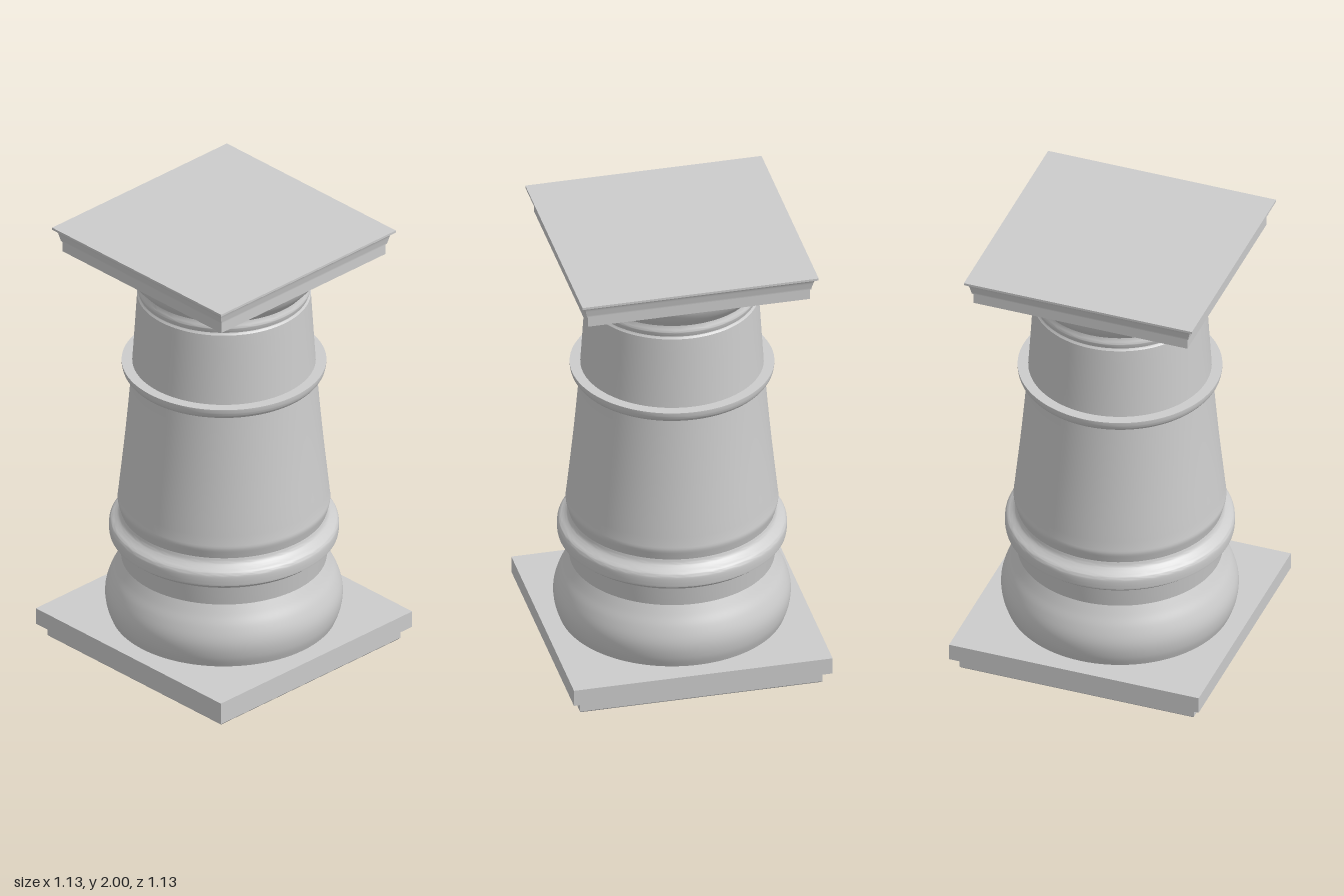
import * as THREE from 'three';
import { toCreasedNormals } from 'three/addons/utils/BufferGeometryUtils.js';

const material = new THREE.MeshStandardMaterial({ color: 0xcccccc });
const points = (pairs) => pairs.map(([r, y]) => new THREE.Vector2(r, y));
const curve = (pairs, n = 10) => new THREE.SplineCurve(points(pairs)).getPoints(n);

// Round moulding turned about the y axis, profile listed from bottom to top
function turned(name, profile) {
  const geometry = toCreasedNormals(new THREE.LatheGeometry(profile, 96), 0.5);
  const mesh = new THREE.Mesh(geometry, material);
  mesh.name = name;
  return mesh;
}

// Square moulding: the same idea with four sides; radii are half-widths
function squared(name, profile) {
  const corners = profile.map((p) => new THREE.Vector2(p.x * Math.SQRT2, p.y));
  const geometry = toCreasedNormals(new THREE.LatheGeometry(corners, 4, Math.PI / 4), 0.5);
  const mesh = new THREE.Mesh(geometry, material);
  mesh.name = name;
  return mesh;
}

export function createModel() {
  const pedestal = new THREE.Group();
  pedestal.name = 'pedestal';

  // Stepped square base
  pedestal.add(
    squared('footSlab', points([[0, 0], [0.525, 0], [0.53, 0.006], [0.53, 0.054], [0.525, 0.06], [0, 0.06]])),
    squared('plinth', points([[0, 0.06], [0.565, 0.06], [0.565, 0.135], [0, 0.135]])),
  );

  // Swelling foot and the neck above it
  pedestal.add(turned('baseBulge', [
    ...curve([[0.482, 0.135], [0.498, 0.18], [0.505, 0.23], [0.5, 0.275], [0.482, 0.325], [0.458, 0.37], [0.437, 0.412]], 28),
    ...points([[0.45, 0.505]]),
  ]));

  // Rounded lower ring with the cove that leads into the shaft
  pedestal.add(turned('lowerRing', [
    ...points([[0.44, 0.505]]),
    ...curve([[0.456, 0.505], [0.472, 0.518], [0.486, 0.53]], 6),
    ...curve([[0.488, 0.54], [0.488, 0.575], [0.48, 0.592], [0.463, 0.604], [0.446, 0.62], [0.439, 0.64]], 20),
  ]));

  // Tapered shaft
  pedestal.add(turned('shaft', [
    ...curve([[0.439, 0.64], [0.445, 0.662], [0.452, 0.69], [0.45, 0.71]], 8),
    ...curve([[0.446, 0.75], [0.418, 1.02], [0.392, 1.33], [0.369, 1.69]], 12),
  ]));

  // Thin flat-topped collar
  pedestal.add(turned('upperCollar', [
    ...points([[0.375, 1.307]]),
    ...curve([[0.4, 1.307], [0.417, 1.315], [0.43, 1.333], [0.435, 1.355]], 12),
    ...points([[0.435, 1.363], [0.375, 1.363]]),
  ]));

  // Fine beads at the top of the shaft, then the flared capital
  pedestal.add(
    turned('neckBeads', [
      ...curve([[0.369, 1.69], [0.362, 1.7], [0.366, 1.712]], 6),
      ...curve([[0.366, 1.712], [0.368, 1.724], [0.363, 1.736]], 6),
      ...points([[0.36, 1.752]]),
    ]),
    turned('capital', curve([[0.36, 1.752], [0.378, 1.772], [0.4, 1.798], [0.418, 1.83], [0.428, 1.86], [0.429, 1.885]], 18)),
  );

  // Square top slab with a curved cornice
  pedestal.add(
    squared('abacus', points([[0, 1.885], [0.485, 1.885], [0.485, 1.935], [0, 1.935]])),
    squared('cornice', [
      ...points([[0, 1.935], [0.49, 1.935]]),
      ...curve([[0.49, 1.937], [0.494, 1.955], [0.499, 1.975], [0.507, 1.988]], 8),
      ...points([[0.516, 1.99], [0.516, 2], [0, 2]]),
    ]),
  );

  return pedestal;
}
